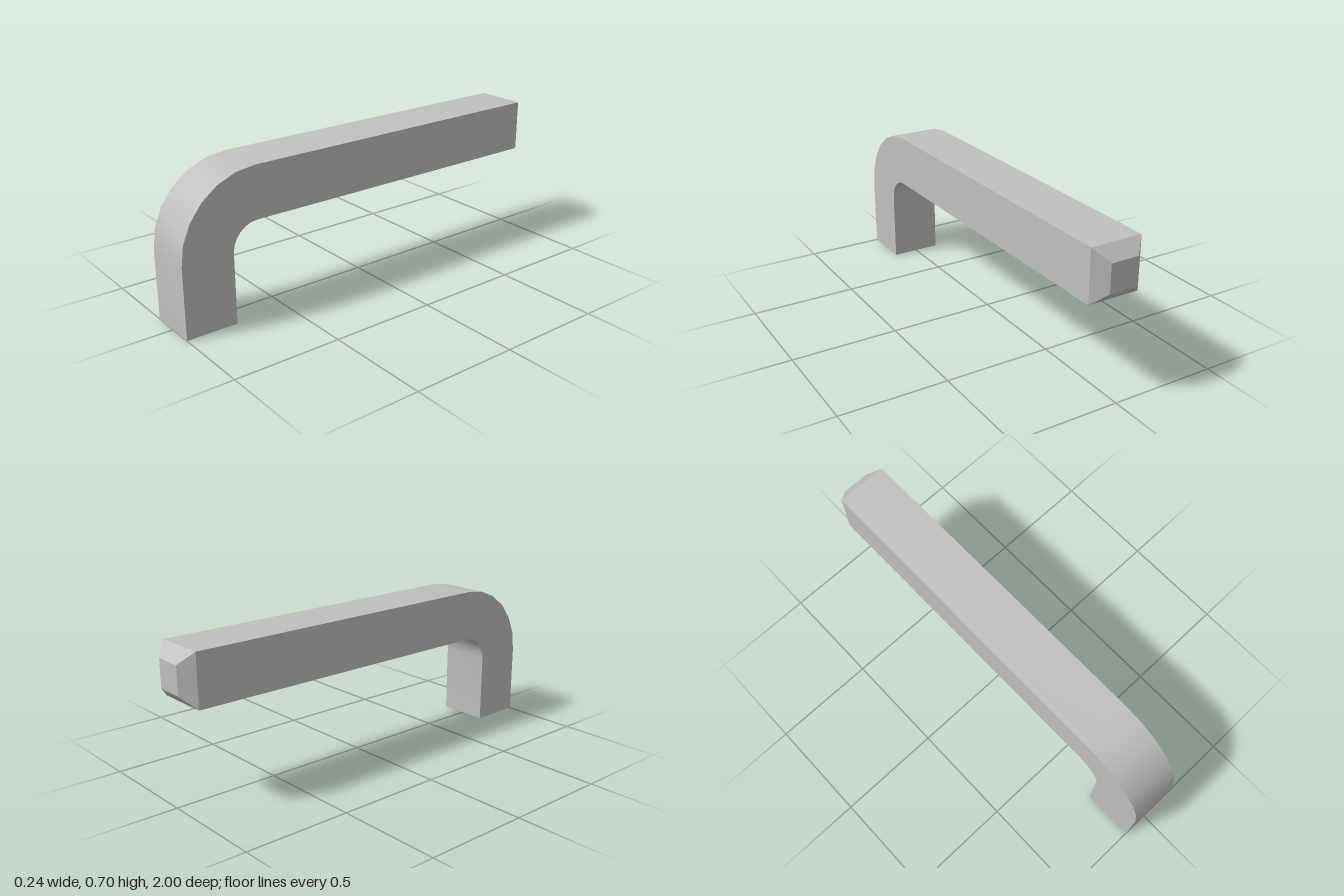
import * as THREE from 'three';
import { toCreasedNormals } from 'three/addons/utils/BufferGeometryUtils.js';

const HALF = 0.122;                 // half width of the square section
const BEND = { z: 0.633, y: 0.33 }; // centre of the bend
const OUTER = 0.367, INNER = OUTER - 2 * HALF;
const BEND_STEPS = 6;

// One square cross-section, given its outer and inner [z, y] points
function ring(outer, inner, h = HALF) {
  return [
    [h, outer[1], outer[0]], [-h, outer[1], outer[0]],
    [-h, inner[1], inner[0]], [h, inner[1], inner[0]],
  ];
}

function barGeometry() {
  const rings = [];
  // Open lower end of the short leg
  rings.push(ring([BEND.z + OUTER, 0], [BEND.z + INNER, 0]));
  // Rounded elbow
  for (let i = 0; i <= BEND_STEPS; i++) {
    const a = (i / BEND_STEPS) * Math.PI / 2;
    const at = (r) => [BEND.z + r * Math.cos(a), BEND.y + r * Math.sin(a)];
    rings.push(ring(at(OUTER), at(INNER)));
  }
  // Long arm, then its chamfered tip
  const mid = BEND.y + (OUTER + INNER) / 2, tip = 0.065;
  rings.push(ring([-0.943, mid + HALF], [-0.943, mid - HALF]));
  rings.push(ring([-1, mid + tip], [-1, mid - tip], tip));

  const index = [];
  for (let r = 0; r < rings.length - 1; r++) {
    for (let k = 0; k < 4; k++) {
      const a = r * 4 + k, b = r * 4 + (k + 1) % 4;
      index.push(a, a + 4, b + 4, a, b + 4, b);
    }
  }
  // Small end face
  const e = (rings.length - 1) * 4;
  index.push(e, e + 3, e + 2, e, e + 2, e + 1);

  const geometry = new THREE.BufferGeometry();
  geometry.setAttribute('position', new THREE.Float32BufferAttribute(rings.flat(2), 3));
  geometry.setIndex(index);
  return toCreasedNormals(geometry, 0.6);
}

export function createModel() {
  const group = new THREE.Group();
  group.name = 'bentBar';
  const metal = new THREE.MeshStandardMaterial({ color: 0xc0c0c0, side: THREE.DoubleSide });
  metal.name = 'lightGrey';
  const bar = new THREE.Mesh(barGeometry(), metal);
  bar.name = 'bar';
  group.add(bar);
  return group;
}
